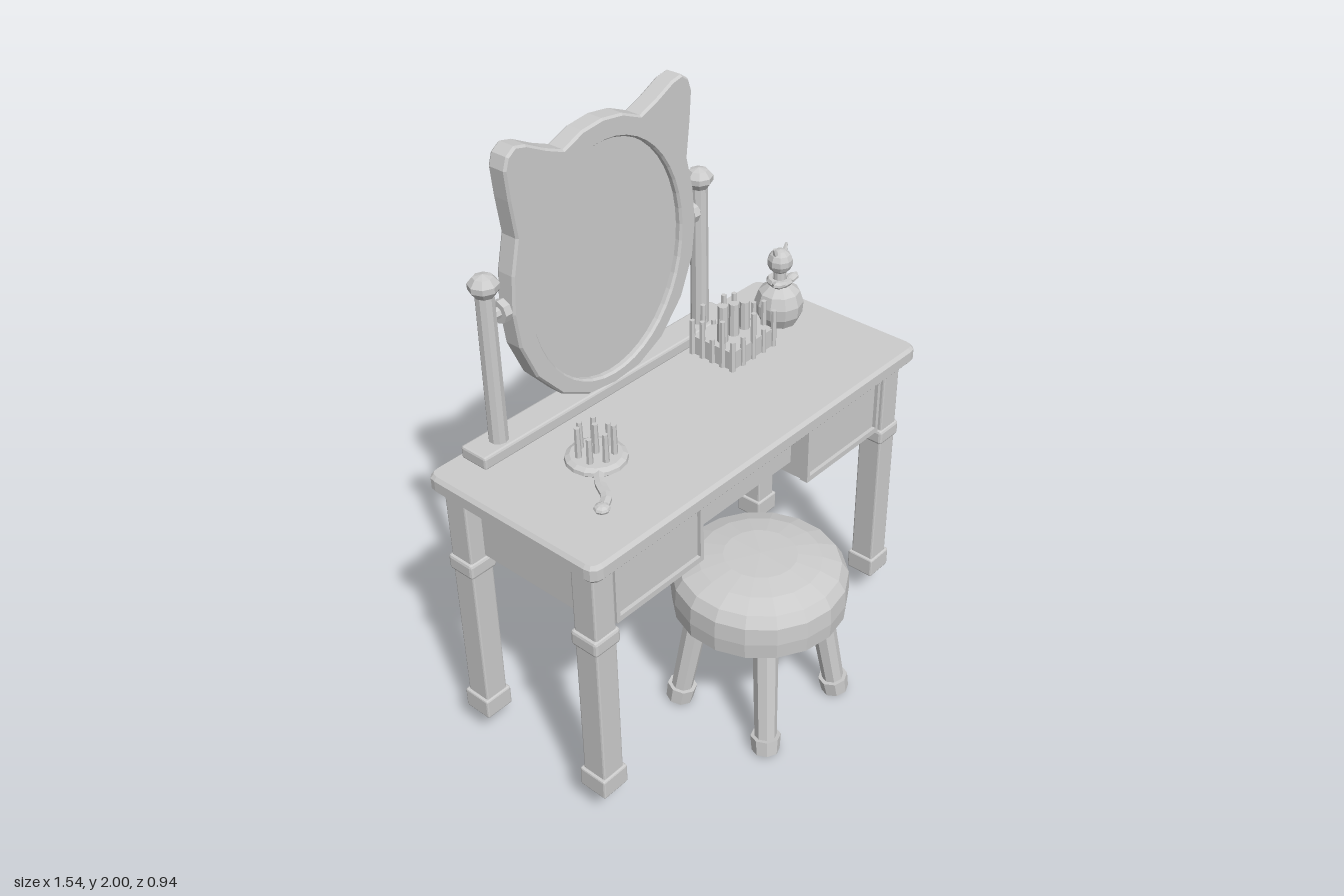
import * as THREE from 'three';
import { RoundedBoxGeometry } from 'three/addons/geometries/RoundedBoxGeometry.js';

const grey = new THREE.MeshStandardMaterial({ color: 0xcccccc, flatShading: true });
const V = (x, y, z) => new THREE.Vector3(x, y, z);

export function createModel() {
  const root = new THREE.Group();
  root.name = 'vanityTableWithStool';

  const group = (name) => {
    const g = new THREE.Group();
    g.name = name;
    root.add(g);
    return g;
  };
  const add = (parent, name, geometry, x = 0, y = 0, z = 0) => {
    const mesh = new THREE.Mesh(geometry, grey);
    mesh.name = name;
    mesh.position.set(x, y, z);
    parent.add(mesh);
    return mesh;
  };
  // Box given by its extents, optionally with bevelled edges
  const box = (parent, name, x0, x1, y0, y1, z0, z1, bevel = 0) => {
    const s = [x1 - x0, y1 - y0, z1 - z0];
    const geo = bevel ? new RoundedBoxGeometry(...s, 1, bevel) : new THREE.BoxGeometry(...s);
    return add(parent, name, geo, (x0 + x1) / 2, (y0 + y1) / 2, (z0 + z1) / 2);
  };
  // Tapered rod between two points
  const rod = (parent, name, a, b, r0, r1 = r0, sides = 8) => {
    const dir = b.clone().sub(a);
    const mesh = add(parent, name, new THREE.CylinderGeometry(r1, r0, dir.length(), sides));
    mesh.position.copy(a).add(b).multiplyScalar(0.5);
    mesh.quaternion.setFromUnitVectors(V(0, 1, 0), dir.normalize());
    return mesh;
  };
  const lathe = (parent, name, profile, sides, x, y, z) =>
    add(parent, name, new THREE.LatheGeometry(profile.map((p) => new THREE.Vector2(...p)), sides), x, y, z);

  // Table top: rounded rectangle with bevelled rim
  const table = group('table');
  const w = 0.76, d = 0.335, r = 0.03;
  const plan = new THREE.Shape();
  plan.moveTo(-w + r, -d);
  plan.lineTo(w - r, -d).quadraticCurveTo(w, -d, w, -d + r);
  plan.lineTo(w, d - r).quadraticCurveTo(w, d, w - r, d);
  plan.lineTo(-w + r, d).quadraticCurveTo(-w, d, -w, d - r);
  plan.lineTo(-w, -d + r).quadraticCurveTo(-w, -d, -w + r, -d);
  const topGeo = new THREE.ExtrudeGeometry(plan, {
    depth: 0.036, bevelSize: 0.01, bevelThickness: 0.012, bevelSegments: 1, curveSegments: 3,
  });
  add(table, 'tableTop', topGeo.rotateX(-Math.PI / 2), 0, 1.002, -0.125);

  // Legs with collar and foot block
  for (const x of [-0.695, 0.69]) {
    for (const z of [0.135, -0.39]) {
      box(table, 'tableLeg', x - 0.042, x + 0.042, 0.12, 1.0, z - 0.044, z + 0.044, 0.006);
      box(table, 'legCollar', x - 0.052, x + 0.052, 0.69, 0.745, z - 0.052, z + 0.052, 0.01);
      box(table, 'legFoot', x - 0.052, x + 0.052, 0.105, 0.178, z - 0.052, z + 0.052, 0.006);
    }
  }

  // Drawer cabinets, framed drawer fronts and the recessed centre
  for (const s of [-1, 1]) {
    const [a, b] = s < 0 ? [-0.68, -0.26] : [0.25, 0.68];
    box(table, 'drawerCabinet', a, b, 0.75, 1.0, -0.42, 0.14);
    const [l, m] = s < 0 ? [-0.64, -0.26] : [0.25, 0.64];
    box(table, 'drawerPanel', l, m, 0.75, 0.96, 0.13, 0.157);
    box(table, 'drawerRail', l, m, 0.745, 0.765, 0.14, 0.17);
    box(table, 'drawerRail', l, m, 0.95, 0.97, 0.14, 0.17);
    box(table, 'drawerStile', l, l + 0.014, 0.765, 0.95, 0.14, 0.17);
    box(table, 'drawerStile', m - 0.014, m, 0.765, 0.95, 0.14, 0.17);
  }
  box(table, 'centreDrawer', -0.27, 0.26, 0.797, 0.96, -0.405, 0.1);
  box(table, 'centreRail', -0.27, 0.26, 0.955, 1.0, -0.405, 0.085);

  // Mirror stand
  const mirror = group('mirror');
  const cx = -0.09, mz = -0.385;
  box(mirror, 'mirrorBase', -0.645, 0.488, 1.045, 1.09, -0.45, -0.343, 0.008);
  for (const s of [-1, 1]) {
    const x = cx + s * 0.456;
    rod(mirror, 'mirrorPost', V(x, 1.08, -0.39), V(x, 1.6, -0.39), 0.031, 0.029, 10);
    lathe(mirror, 'postKnob', [[0, 0], [0.03, 0], [0.046, 0.022], [0.047, 0.04], [0.03, 0.06], [0, 0.068]], 8, x, 1.58, -0.39);
    rod(mirror, 'pivotPin', V(cx + s * 0.37, 1.51, mz), V(x, 1.51, mz), 0.018);
    rod(mirror, 'pivotKnob', V(cx + s * 0.393, 1.51, mz), V(cx + s * 0.418, 1.51, mz), 0.036);
  }

  // Eared frame: half outline mirrored about its centre line
  const half = [[0, 1.088], [0.11, 1.1], [0.22, 1.155], [0.315, 1.26], [0.37, 1.385], [0.385, 1.5], [0.376, 1.62],
    [0.35, 1.73], [0.366, 1.85], [0.374, 1.94], [0.362, 1.975], [0.335, 1.994], [0.297, 1.986], [0.225, 1.95],
    [0.157, 1.923], [0.08, 1.955], [0, 1.965]];
  const outline = [...half, ...half.slice(1, -1).reverse().map(([x, y]) => [-x, y])];
  const frame = new THREE.Shape(outline.map(([x, y]) => new THREE.Vector2(x, y)));
  const opening = new THREE.Path();
  opening.absellipse(0, 1.513, 0.328, 0.395, 0, Math.PI * 2, true);
  frame.holes.push(opening);
  const frameGeo = new THREE.ExtrudeGeometry(frame, {
    depth: 0.054, bevelThickness: 0.008, bevelSize: 0.006, bevelSegments: 1, curveSegments: 22,
  });
  add(mirror, 'mirrorFrame', frameGeo, cx, 0, -0.408);
  const glass = new THREE.CylinderGeometry(1, 1, 0.024, 24).rotateX(Math.PI / 2).scale(0.333, 0.4, 1);
  add(mirror, 'mirrorGlass', glass, cx, 1.513, -0.381);

  // Stool: cushion and four splayed legs
  const stool = group('stool');
  const sz = 0.182;
  lathe(stool, 'stoolSeat', [[0, 0.41], [0.265, 0.41], [0.285, 0.425], [0.289, 0.48], [0.285, 0.54], [0.262, 0.577],
    [0.2, 0.6], [0.12, 0.613], [0, 0.616]], 18, 0, 0, sz);
  for (const sx of [-1, 1]) {
    for (const s of [-1, 1]) {
      const at = (k, y) => V(sx * k, y, sz + s * k);
      rod(stool, 'stoolLeg', at(0.185, 0.03), at(0.135, 0.43), 0.036, 0.042);
      rod(stool, 'stoolFoot', at(0.188, 0.006), at(0.181, 0.062), 0.046, 0.05);
    }
  }

  // Brush lying with its bristles up
  const brush = group('hairBrush');
  const bx = -0.395, bz = -0.133;
  lathe(brush, 'brushHead', [[0, 0], [0.085, 0], [0.097, 0.01], [0.095, 0.022], [0.08, 0.03], [0, 0.032]], 16, bx, 1.047, bz);
  for (let i = 0; i < 8; i++) {
    const a = i * 0.9, k = i === 7 ? 0 : 0.055;
    const x = bx + k * Math.cos(a), z = bz + k * Math.sin(a);
    rod(brush, 'bristle', V(x, 1.07, z), V(x, 1.155 + 0.025 * Math.abs(Math.sin(i * 2)), z), 0.011, 0.009, 6);
  }
  const grip = new THREE.CatmullRomCurve3([V(-0.44, 1.063, -0.08), V(-0.485, 1.063, -0.03), V(-0.52, 1.063, 0.03), V(-0.565, 1.063, 0.055)]);
  const gripGeo = new THREE.TubeGeometry(grip, 8, 0.018, 6).translate(0, -1.063, 0).scale(1, 0.6, 1);
  add(brush, 'brushHandle', gripGeo, 0, 1.063, 0);
  add(brush, 'handleEnd', new THREE.SphereGeometry(0.026, 8, 6).scale(1, 0.55, 1), -0.565, 1.063, 0.055);

  // Organiser fenced with uneven sticks, holding three tubes
  const caddy = group('organiser');
  const [x0, x1, z0, z1] = [0.243, 0.453, -0.314, -0.143];
  box(caddy, 'organiserBox', x0, x1, 1.047, 1.115, z0, z1);
  const stick = (x, z, i) =>
    rod(caddy, 'organiserStick', V(x, 1.05, z), V(x, 1.175 + 0.045 * Math.sin(i * 2.3), z), 0.011, 0.009, 6);
  for (let i = 0; i < 5; i++) {
    const t = i / 4;
    stick(x0 + (x1 - x0) * t, z0, i);
    stick(x0 + (x1 - x0) * t, z1, i + 7);
    if (i > 0 && i < 4) {
      stick(x0, z0 + (z1 - z0) * t, i + 3);
      stick(x1, z0 + (z1 - z0) * t, i + 9);
    }
  }
  [0.285, 0.34, 0.395].forEach((x, i) =>
    rod(caddy, 'cosmeticTube', V(x, 1.1, -0.22), V(x, 1.245 - i * 0.015, -0.22), 0.019, 0.017));

  // Round bottle with ribbon collar and a horned round stopper
  const bottle = group('bottle');
  const px = 0.593, pz = -0.232;
  lathe(bottle, 'bottleBody', [[0, 0], [0.06, 0], [0.08, 0.04], [0.083, 0.08], [0.07, 0.12], [0.04, 0.143], [0.022, 0.15], [0.02, 0.2], [0, 0.2]],
    10, px, 1.047, pz);
  add(bottle, 'bottleCollar', new THREE.TorusGeometry(0.033, 0.013, 6, 10).rotateX(Math.PI / 2), px, 1.205, pz);
  for (const s of [-1, 1]) {
    const bow = add(bottle, 'ribbonLoop', new THREE.SphereGeometry(0.03, 6, 5).scale(1, 0.45, 0.7), px + s * 0.035, 1.21, pz + 0.025);
    bow.rotation.z = s * 0.2;
    rod(bottle, 'stopperHorn', V(px + s * 0.02, 1.3, pz), V(px + s * 0.033, 1.333, pz), 0.011, 0.005, 6);
  }
  add(bottle, 'stopper', new THREE.SphereGeometry(0.044, 9, 7), px, 1.277, pz);

  return root;
}
